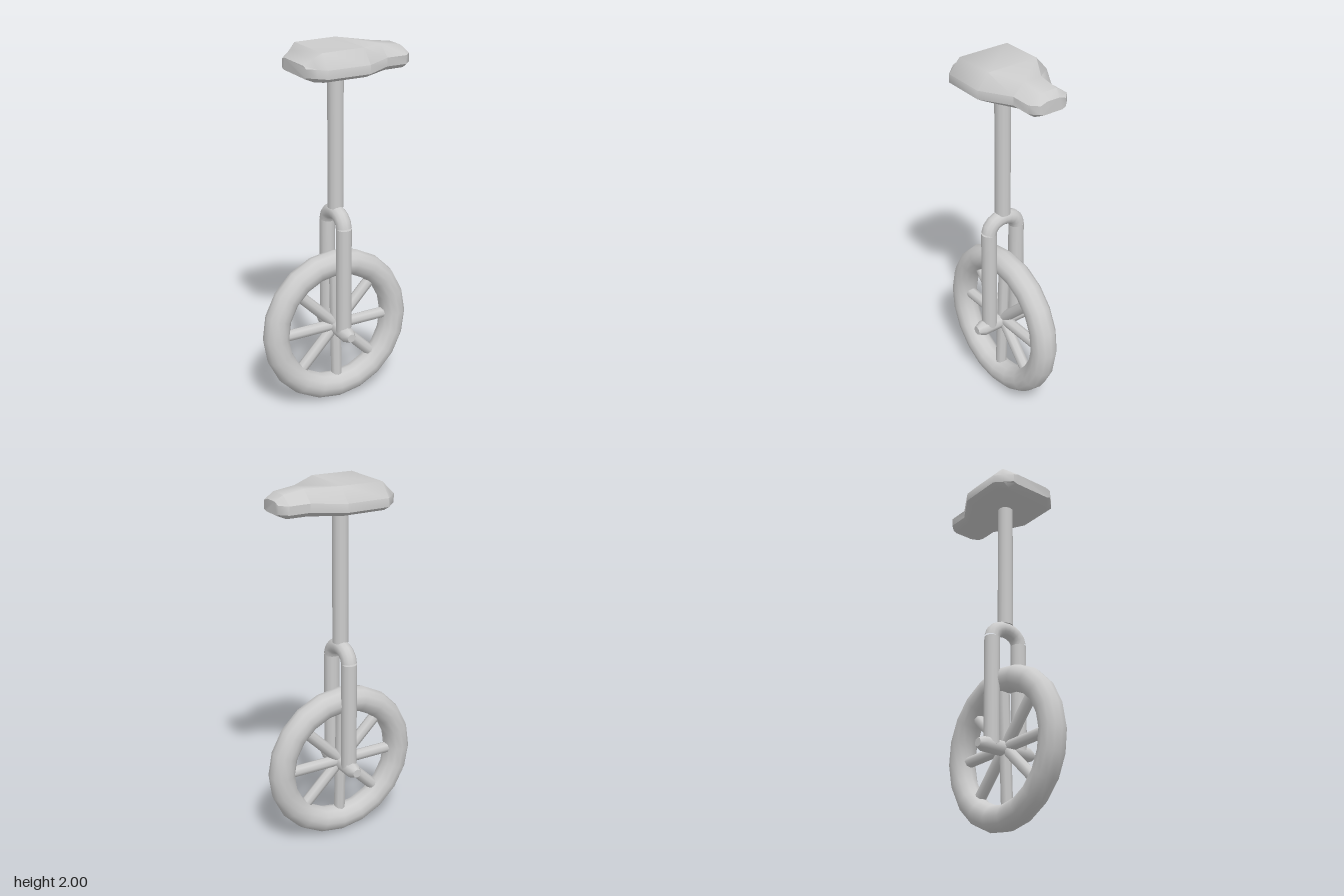
import * as THREE from 'three';
import { toCreasedNormals } from 'three/addons/utils/BufferGeometryUtils.js';

const material = new THREE.MeshStandardMaterial({ color: 0xcccccc });
const HUB_Y = 0.435;
const TUBE_R = 0.042;

function add(parent, name, geometry, x = 0, y = 0, z = 0) {
  const mesh = new THREE.Mesh(geometry, material);
  mesh.name = name;
  mesh.position.set(x, y, z);
  parent.add(mesh);
  return mesh;
}

// Saddle: eight-sided cross-sections lofted along x
function seatGeometry() {
  // x, half width, top y, top half width, bottom y, bottom half width
  const sections = [
    [-0.235, 0.13, 1.935, 0.1, 1.872, 0.11],
    [-0.195, 0.17, 1.967, 0.12, 1.856, 0.135],
    [-0.155, 0.21, 1.997, 0.145, 1.856, 0.165],
    [0.08, 0.21, 2.0, 0.145, 1.856, 0.165],
    [0.235, 0.115, 1.984, 0.05, 1.856, 0.085],
    [0.35, 0.115, 1.968, 0.05, 1.856, 0.08],
    [0.39, 0.075, 1.938, 0.035, 1.872, 0.055],
  ];
  const n = 8;
  const positions = [];
  const index = [];
  for (const [x, w, top, tw, bottom, bw] of sections) {
    const ring = [
      [top, -tw], [top, tw], [1.925, w], [1.88, w],
      [bottom, bw], [bottom, -bw], [1.88, -w], [1.925, -w],
    ];
    for (const [y, z] of ring) positions.push(x, y, z);
  }
  for (let i = 0; i < sections.length - 1; i++) {
    for (let j = 0; j < n; j++) {
      const a = i * n + j;
      const b = i * n + (j + 1) % n;
      index.push(a, b, b + n, a, b + n, a + n);
    }
  }
  const last = (sections.length - 1) * n;
  for (let j = 1; j < n - 1; j++) {
    index.push(0, j + 1, j);
    index.push(last, last + j, last + j + 1);
  }
  const geometry = new THREE.BufferGeometry();
  geometry.setAttribute('position', new THREE.Float32BufferAttribute(positions, 3));
  geometry.setIndex(index);
  return toCreasedNormals(geometry, 0.8);
}

export function createModel() {
  const model = new THREE.Group();
  model.name = 'unicycle';

  // Wheel, leaning very slightly
  const wheel = new THREE.Group();
  wheel.name = 'wheel';
  wheel.position.y = HUB_Y + 0.003;
  wheel.rotation.x = -0.035;
  model.add(wheel);
  add(wheel, 'tyre', new THREE.TorusGeometry(0.366, 0.071, 12, 20));
  for (let i = 0; i < 8; i++) {
    const angle = i * Math.PI / 4;
    const spoke = add(wheel, 'spoke', new THREE.CylinderGeometry(0.031, 0.031, 0.31, 8),
      -Math.sin(angle) * 0.155, Math.cos(angle) * 0.155, 0);
    spoke.rotation.z = angle;
  }

  // Axle with tapered ends
  const profile = [
    [0, -0.178], [0.024, -0.178], [TUBE_R, -0.14],
    [TUBE_R, 0.14], [0.024, 0.178], [0, 0.178],
  ].map(([r, z]) => new THREE.Vector2(r, z));
  const axle = add(model, 'axle',
    toCreasedNormals(new THREE.LatheGeometry(profile, 8), 0.9), 0, HUB_Y - 0.007, 0);
  axle.rotation.x = Math.PI / 2;

  // Fork: two legs joined by an arch
  for (const side of [-1, 1]) {
    add(model, 'forkLeg', new THREE.CylinderGeometry(TUBE_R, TUBE_R, 0.605, 12),
      0, 0.7325, side * 0.09);
  }
  const archPoints = [];
  for (let i = 0; i <= 8; i++) {
    const t = i * Math.PI / 8;
    archPoints.push(new THREE.Vector3(0, 1.035 + 0.07 * Math.sin(t), 0.09 * Math.cos(t)));
  }
  add(model, 'forkArch', new THREE.TubeGeometry(
    new THREE.CatmullRomCurve3(archPoints), 8, TUBE_R, 12));

  // Seat post and saddle
  add(model, 'seatPost', new THREE.CylinderGeometry(TUBE_R, TUBE_R, 0.76, 12), 0, 1.51, 0);
  add(model, 'seat', seatGeometry());

  return model;
}
